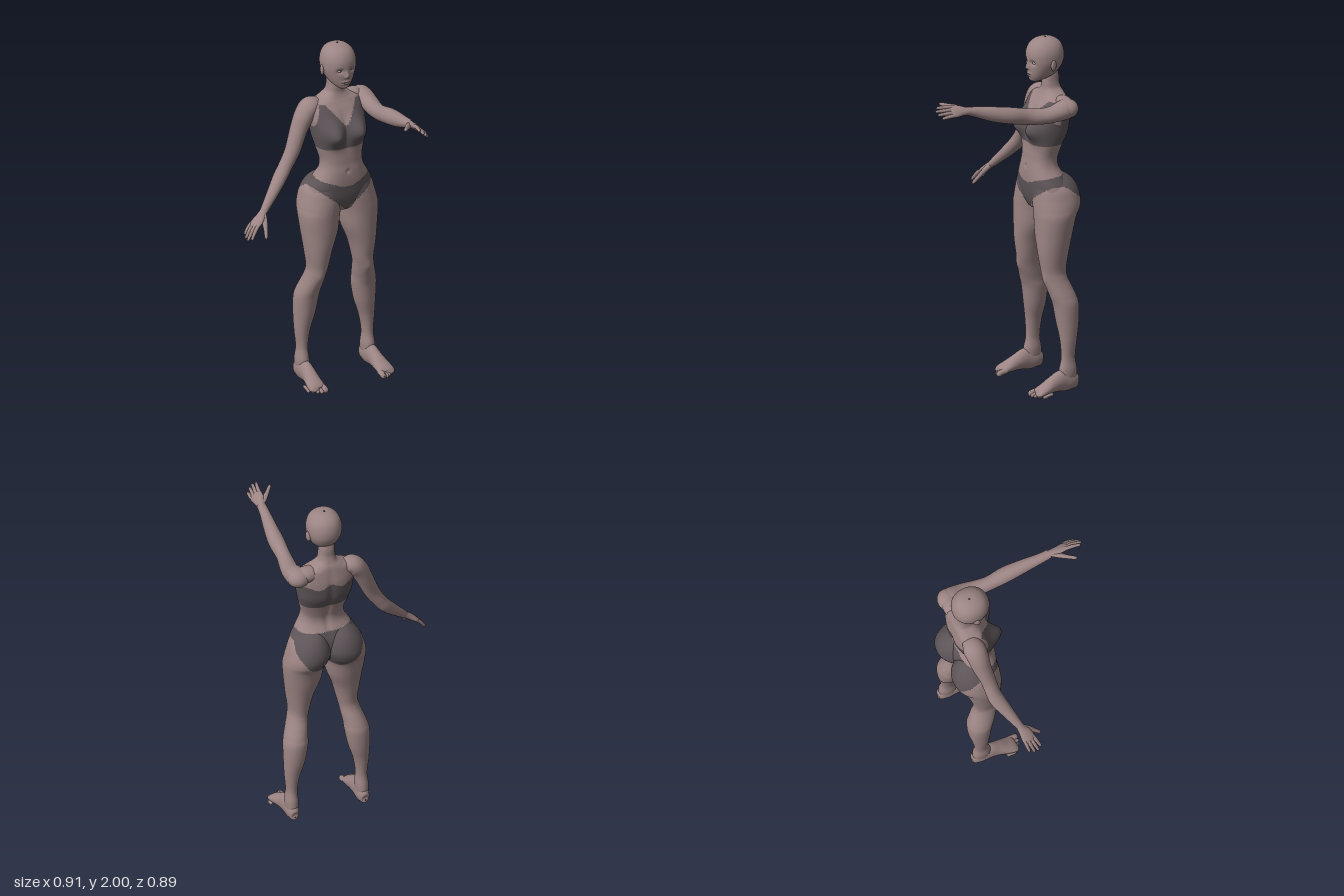
import * as THREE from 'three';
import { ParametricGeometry } from 'three/addons/geometries/ParametricGeometry.js';

const CX = 0.187; // body's plane of symmetry
const mat = (name, color) => Object.assign(new THREE.MeshStandardMaterial({ color }), { name });
const gauss = (d, s) => Math.exp(-(d * d) / (s * s));
const smooth = THREE.MathUtils.smoothstep;
const lerp = THREE.MathUtils.lerp;

// Smooth interpolation through rows of numbers
function spline(rows) {
  const n = rows.length;
  return (t) => {
    const s = t * (n - 1), i = Math.min(Math.floor(s), n - 2), f = s - i;
    const a = rows[Math.max(i - 1, 0)], b = rows[i], c = rows[i + 1], d = rows[Math.min(i + 2, n - 1)];
    return b.map((_, k) => {
      const m0 = (c[k] - a[k]) / 2, m1 = (d[k] - b[k]) / 2, g = b[k] - c[k];
      return b[k] + f * (m0 + f * (-3 * g - 2 * m0 - m1 + f * (2 * g + m0 + m1)));
    });
  };
}

// Upright body from rows [y, centre x, half width, back z, front z], listed downwards
function column(rows, e, slices, stacks, shape = () => {}) {
  const at = spline(rows);
  const pw = (v) => Math.sign(v) * Math.abs(v) ** (2 / e);
  return new ParametricGeometry((u, v, p) => {
    const [y, x, hw, zb, zf] = at(v), c = Math.cos(u * 2 * Math.PI), s = Math.sin(u * 2 * Math.PI);
    p.set(x + hw * pw(c), y, (zb + zf) / 2 + ((zf - zb) / 2) * pw(s));
    shape(p, s);
  }, slices, stacks);
}

// Limb along rows [x, y, z, radius along ref, radius across]
function limb(rows, ref, slices = 16, stacks = 16) {
  const at = spline(rows), T = new THREE.Vector3(), U = new THREE.Vector3(), V = new THREE.Vector3();
  return new ParametricGeometry((u, v, p) => {
    const r = at(v), a = at(Math.max(v - 0.01, 0)), b = at(Math.min(v + 0.01, 1));
    T.set(b[0] - a[0], b[1] - a[1], b[2] - a[2]).normalize();
    U.copy(ref).addScaledVector(T, -ref.dot(T)).normalize();
    V.crossVectors(T, U);
    p.set(r[0], r[1], r[2])
      .addScaledVector(U, r[3] * Math.cos(u * 2 * Math.PI))
      .addScaledVector(V, r[4] * Math.sin(u * 2 * Math.PI));
  }, slices, stacks);
}

// Split faces into skin (0) and cloth (1) by a rule on their centre
function paint(geo, rule) {
  const idx = geo.index.array, pos = geo.attributes.position, sets = [[], []];
  for (let i = 0; i < idx.length; i += 3) {
    const f = [idx[i], idx[i + 1], idx[i + 2]];
    const mean = (get) => (pos[get](f[0]) + pos[get](f[1]) + pos[get](f[2])) / 3;
    sets[rule(Math.abs(mean('getX') - CX), mean('getY'), mean('getZ')) ? 1 : 0].push(...f);
  }
  geo.setIndex(sets[0].concat(sets[1]));
  geo.addGroup(0, sets[0].length, 0);
  geo.addGroup(sets[0].length, sets[1].length, 1);
  return geo;
}

function inBriefs(dx, y, z) {
  const top = 1.232 - 0.052 * gauss(dx, 0.11) * smooth(z, -0.3, -0.2);
  const front = 1.02 + 0.16 * Math.min(dx / 0.18, 1.05) ** 0.85;
  const back = 1.005 + 0.16 * (dx / 0.21) ** 3;
  return y < top && y > lerp(front, back, smooth(-z, 0.3, 0.4));
}
function inBra(dx, y, z) {
  const front = dx < 0.125 ? Math.min(1.655, 1.53 + 1.3 * dx) : 1.655 - (dx - 0.125) * 3.5;
  const back = 1.56 + 0.012 * Math.cos(dx * 45);
  return y > 1.41 && y < (z > -0.31 ? front : back);
}

export function createModel() {
  const group = new THREE.Group();
  const skin = mat('skin', 0x9c8584), cloth = mat('cloth', 0x5d5458);
  const eyeWhite = mat('eyeWhite', 0xaca2a2), iris = mat('iris', 0x4a4145);
  const add = (name, geo, m, parent = group) => {
    const mesh = new THREE.Mesh(geo, m);
    mesh.name = name;
    parent.add(mesh);
    return mesh;
  };
  const ball = (name, m, x, y, z, a, b, c) => {
    const mesh = add(name, new THREE.SphereGeometry(1, 24, 16), m);
    mesh.position.set(x, y, z);
    mesh.scale.set(a, b, c);
    return mesh;
  };
  const X = new THREE.Vector3(1, 0, 0), Y = new THREE.Vector3(0, 1, 0), Z = new THREE.Vector3(0, 0, 1);
  const centred = (rows) => rows.map(([y, hw, zb, zf]) => [y, CX, hw, zb, zf]);

  // Neck, torso and pelvis, with the bust, navel and spine shaped in
  const torso = column(centred([
    [1.82, 0.042, -0.365, -0.29], [1.78, 0.044, -0.373, -0.285], [1.74, 0.045, -0.375, -0.282],
    [1.705, 0.054, -0.385, -0.28], [1.68, 0.09, -0.395, -0.272], [1.655, 0.14, -0.40, -0.258],
    [1.62, 0.163, -0.405, -0.238], [1.58, 0.165, -0.41, -0.222], [1.53, 0.16, -0.41, -0.207],
    [1.47, 0.153, -0.402, -0.197], [1.41, 0.141, -0.376, -0.187], [1.35, 0.125, -0.355, -0.182],
    [1.31, 0.122, -0.345, -0.18], [1.27, 0.132, -0.35, -0.175], [1.22, 0.162, -0.375, -0.173],
    [1.17, 0.19, -0.392, -0.175], [1.11, 0.19, -0.395, -0.18], [1.06, 0.11, -0.38, -0.192],
    [1.025, 0.05, -0.35, -0.215], [1.01, 0.004, -0.285, -0.275],
  ]), 2.4, 96, 180, (p, s) => {
    const dx = Math.abs(p.x - CX), k = smooth(s, 0, 0.5);
    p.z += k * 0.068 * gauss(dx - 0.078, 0.062) * gauss(p.y - 1.495, p.y > 1.495 ? 0.075 : 0.06);
    p.z -= k * 0.008 * gauss(dx, 0.01) * gauss(p.y - 1.27, 0.012);
    p.z += smooth(-s, 0.3, 0.9) * 0.009 * gauss(dx, 0.02) * gauss(p.y - 1.4, 0.2);
  });
  add('torso', paint(torso, (dx, y, z) => inBra(dx, y, z) || inBriefs(dx, y, z)), [skin, cloth]);

  // Head with brow, eye sockets, nose, lips and chin
  add('head', column(centred([
    [2.0, 0.003, -0.305, -0.295], [1.996, 0.035, -0.335, -0.26], [1.98, 0.064, -0.367, -0.225],
    [1.955, 0.084, -0.388, -0.203], [1.92, 0.095, -0.399, -0.19], [1.88, 0.096, -0.40, -0.188],
    [1.85, 0.09, -0.392, -0.191], [1.82, 0.078, -0.375, -0.193], [1.79, 0.061, -0.345, -0.197],
    [1.77, 0.043, -0.30, -0.203], [1.757, 0.025, -0.26, -0.212], [1.752, 0.003, -0.24, -0.23],
  ]), 2.15, 80, 100, (p, s) => {
    const dx = Math.abs(p.x - CX), y = p.y;
    p.z += smooth(s, 0, 0.6) * (
      -0.014 * gauss(dx - 0.036, 0.018) * gauss(y - 1.87, 0.014) +
      0.018 * gauss(dx, 0.012) * gauss(y - 1.836, y > 1.836 ? 0.026 : 0.009) +
      0.007 * gauss(dx, 0.024) * (gauss(y - 1.803, 0.006) + gauss(y - 1.79, 0.006)) -
      0.004 * gauss(dx, 0.024) * gauss(y - 1.797, 0.003) + 0.004 * gauss(dx, 0.02) * gauss(y - 1.768, 0.01));
  }), skin);

  for (const s of [-1, 1]) {
    const side = s < 0 ? 'right' : 'left';
    const mx = (x) => CX + s * (CX - x); // rows are written for the right side

    ball(side + 'Ear', skin, CX + s * 0.095, 1.858, -0.3, 0.011, 0.032, 0.019).rotation.y = s * 0.4;
    ball(side + 'Eye', eyeWhite, CX + s * 0.036, 1.87, -0.214, 0.015, 0.009, 0.013);
    ball(side + 'Iris', iris, CX + s * 0.036, 1.87, -0.206, 0.006, 0.006, 0.0065);

    // Leg with buttock, thigh, knee and calf
    const leg = column([
      [1.25, 0.12, 0.03, -0.33, -0.25], [1.21, 0.103, 0.074, -0.397, -0.205], [1.16, 0.094, 0.106, -0.432, -0.187],
      [1.1, 0.088, 0.121, -0.447, -0.18], [1.05, 0.076, 0.121, -0.438, -0.178], [1.0, 0.066, 0.116, -0.41, -0.178],
      [0.9, 0.062, 0.102, -0.386, -0.18], [0.8, 0.05, 0.077, -0.362, -0.186], [0.7, 0.044, 0.058, -0.346, -0.2],
      [0.65, 0.035, 0.056, -0.35, -0.212], [0.6, 0.024, 0.06, -0.37, -0.224], [0.55, 0.012, 0.065, -0.389, -0.24],
      [0.5, 0.005, 0.069, -0.40, -0.255], [0.4, -0.004, 0.06, -0.396, -0.27], [0.3, -0.017, 0.043, -0.38, -0.285],
      [0.2, -0.02, 0.031, -0.37, -0.29], [0.13, -0.021, 0.037, -0.38, -0.277], [0.08, -0.021, 0.033, -0.38, -0.28],
      [0.05, -0.021, 0.02, -0.36, -0.3],
    ].map(([y, x, ...r]) => [y, mx(x), ...r]), 2.1, 64, 180, (p, k) => {
      p.z += smooth(k, 0.2, 0.8) * 0.009 * gauss(p.x - mx(0.035), 0.03) * gauss(p.y - 0.645, 0.035);
    });
    add(side + 'Leg', paint(leg, inBriefs), [skin, cloth]);

    // Foot and toes
    add(side + 'Foot', limb([
      [-0.021, 0.045, -0.389, 0.003, 0.003], [-0.021, 0.046, -0.38, 0.024, 0.033], [-0.021, 0.062, -0.345, 0.036, 0.056],
      [-0.022, 0.07, -0.29, 0.037, 0.062], [-0.024, 0.058, -0.235, 0.04, 0.047], [-0.029, 0.041, -0.185, 0.047, 0.033],
      [-0.032, 0.029, -0.148, 0.05, 0.023], [-0.032, 0.02, -0.13, 0.043, 0.014], [-0.03, 0.018, -0.122, 0.002, 0.002],
    ].map(([x, ...r]) => [mx(x), ...r]), X, 32, 40), skin);
    for (let i = 0; i < 5; i++) {
      const x = 0.004 - i * 0.0195 - (i ? 0.003 : 0), r = i ? 0.0115 - i * 0.0006 : 0.016, z = -0.096 - 0.003 * i * i;
      add(side + 'Toe', limb([
        [mx(x), r + 0.012, z - 0.06, r, r], [mx(x), r + 0.006, z - 0.03, r, r], [mx(x), r, z - 0.012, r, r],
        [mx(x), r, z - 0.003, r * 0.7, r * 0.7], [mx(x), r, z, 0.001, 0.001],
      ], X), skin);
    }
  }

  // Right arm hangs out to the side, left arm reaches forward
  add('rightArm', limb([
    [0.09, 1.64, -0.345, 0.045, 0.035], [0.04, 1.63, -0.345, 0.062, 0.053], [0, 1.585, -0.34, 0.06, 0.054],
    [-0.037, 1.51, -0.335, 0.052, 0.048], [-0.085, 1.40, -0.32, 0.043, 0.043], [-0.13, 1.325, -0.315, 0.041, 0.038],
    [-0.17, 1.27, -0.305, 0.043, 0.037], [-0.235, 1.20, -0.275, 0.034, 0.031], [-0.315, 1.12, -0.238, 0.022, 0.021],
  ], Z, 40, 70), skin);
  add('leftArm', limb([
    [0.35, 1.628, -0.375, 0.035, 0.045], [0.36, 1.624, -0.33, 0.055, 0.06], [0.365, 1.61, -0.25, 0.046, 0.051],
    [0.356, 1.606, -0.18, 0.044, 0.046], [0.347, 1.615, -0.1, 0.045, 0.04], [0.345, 1.637, 0, 0.046, 0.045],
    [0.338, 1.659, 0.1, 0.042, 0.038], [0.328, 1.685, 0.2, 0.03, 0.029], [0.325, 1.70, 0.26, 0.022, 0.026],
  ], Y, 40, 70), skin);
  ball('leftShoulder', skin, 0.358, 1.627, -0.345, 0.064, 0.053, 0.06);
  ball('leftShoulderSlope', skin, 0.31, 1.638, -0.345, 0.075, 0.046, 0.052);

  // Hand: fingers along local z, back of the hand up, thumb on side s
  function hand(name, s, wrist, dir, across) {
    const h = new THREE.Group();
    h.name = name;
    const z = new THREE.Vector3(...dir).normalize();
    const y = new THREE.Vector3().crossVectors(z, new THREE.Vector3(...across)).normalize();
    const x = new THREE.Vector3().crossVectors(y, z);
    h.applyMatrix4(new THREE.Matrix4().makeBasis(x, y, z).setPosition(...wrist));
    add('palm', limb([
      [0, 0, -0.02, 0.022, 0.02], [0, 0, 0.015, 0.025, 0.018], [s * 0.003, 0, 0.055, 0.036, 0.017],
      [0, 0, 0.092, 0.038, 0.014], [0, 0, 0.108, 0.025, 0.007], [0, 0, 0.11, 0.002, 0.001],
    ], X, 28, 30), skin, h);
    [0.088, 0.1, 0.092, 0.072].forEach((len, i) => {
      const fx = s * (0.028 - 0.0187 * i);
      const row = (k, r) => [fx * (1 + 0.25 * k), 0.002 - 0.014 * k * k, 0.088 + len * k, r, r];
      add('finger', limb([row(0, 0.0105), row(0.35, 0.0105), row(0.7, 0.0092), row(0.93, 0.0075), row(1, 0.001)], X), skin, h);
    });
    add('thumb', limb([
      [s * 0.01, -0.005, 0.015, 0.016, 0.014], [s * 0.036, -0.018, 0.05, 0.017, 0.014], [s * 0.06, -0.033, 0.085, 0.012, 0.011],
      [s * 0.08, -0.046, 0.118, 0.0095, 0.009], [s * 0.085, -0.05, 0.13, 0.001, 0.001],
    ], X), skin, h);
    group.add(h);
  }
  hand('rightHand', 1, [-0.315, 1.12, -0.238], [-0.74, -0.64, 0.21], [0.2, 0, 0.98]);
  hand('leftHand', -1, [0.325, 1.70, 0.258], [-0.03, 0.1, 1], [0.75, -0.66, 0]);

  return group;
}
